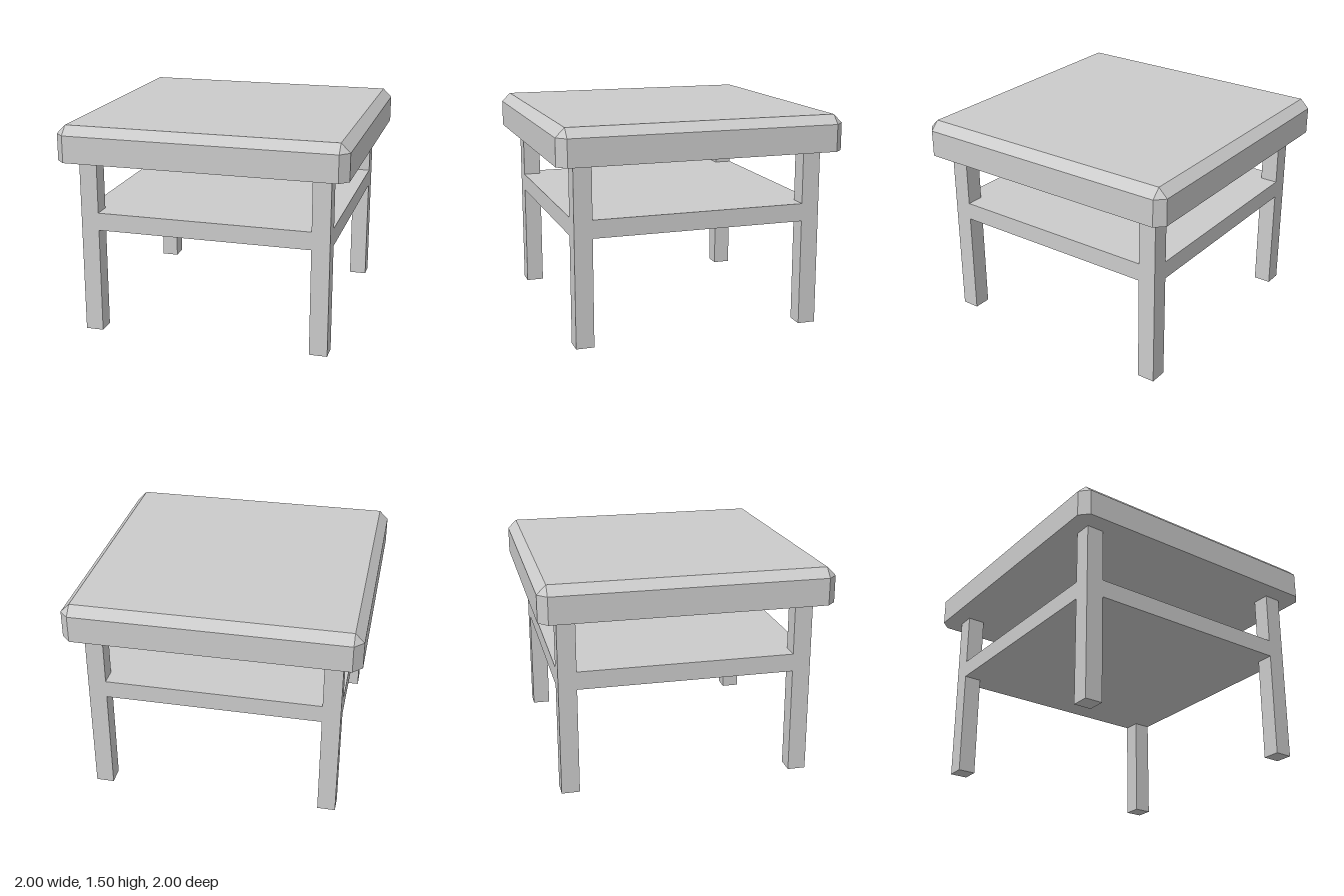
import * as THREE from 'three';
import { ConvexGeometry } from 'three/addons/geometries/ConvexGeometry.js';

const HEIGHT = 1.5, TOP_BASE = 1.25;   // table top spans these heights
const BEVEL = 0.0625;
const OUT = 0.875, IN = 0.75;          // outer and inner faces of the legs
const SHELF_Y = 0.75, SHELF_T = 0.125;
const CORNERS = [[1, 1], [-1, 1], [-1, -1], [1, -1]];

export function createModel() {
  const group = new THREE.Group();
  const material = new THREE.MeshStandardMaterial({ color: 0xcccccc, flatShading: true });
  const add = (name, geometry) => {
    const mesh = new THREE.Mesh(geometry, material);
    mesh.name = name;
    group.add(mesh);
    return mesh;
  };

  // Table top: chamfered vertical corners and upper edges, flat underside
  const points = [];
  for (const [sx, sz] of CORNERS) {
    for (const y of [TOP_BASE, HEIGHT - BEVEL]) {
      points.push(new THREE.Vector3(sx, y, sz * (1 - BEVEL)));
      points.push(new THREE.Vector3(sx * (1 - BEVEL), y, sz));
    }
    points.push(new THREE.Vector3(sx * (1 - BEVEL), HEIGHT, sz * (1 - BEVEL)));
  }
  add('tableTop', new ConvexGeometry(points));

  // Four square legs
  const legNames = ['frontLeftLeg', 'frontRightLeg', 'backRightLeg', 'backLeftLeg'];
  CORNERS.forEach(([sx, sz], i) => {
    const leg = add(legNames[i], new THREE.BoxGeometry(OUT - IN, TOP_BASE, OUT - IN));
    leg.position.set(sx * (OUT + IN) / 2, TOP_BASE / 2, sz * (OUT + IN) / 2);
  });

  // Shelf: flush with the outer leg faces, notched around each leg
  const outline = [
    [IN, -OUT], [IN, -IN], [OUT, -IN], [OUT, IN], [IN, IN], [IN, OUT],
    [-IN, OUT], [-IN, IN], [-OUT, IN], [-OUT, -IN], [-IN, -IN], [-IN, -OUT],
  ].map(([x, y]) => new THREE.Vector2(x, y));
  const shelf = add('shelf', new THREE.ExtrudeGeometry(new THREE.Shape(outline),
    { depth: SHELF_T, bevelEnabled: false }));
  shelf.rotation.x = -Math.PI / 2;
  shelf.position.y = SHELF_Y;

  return group;
}
